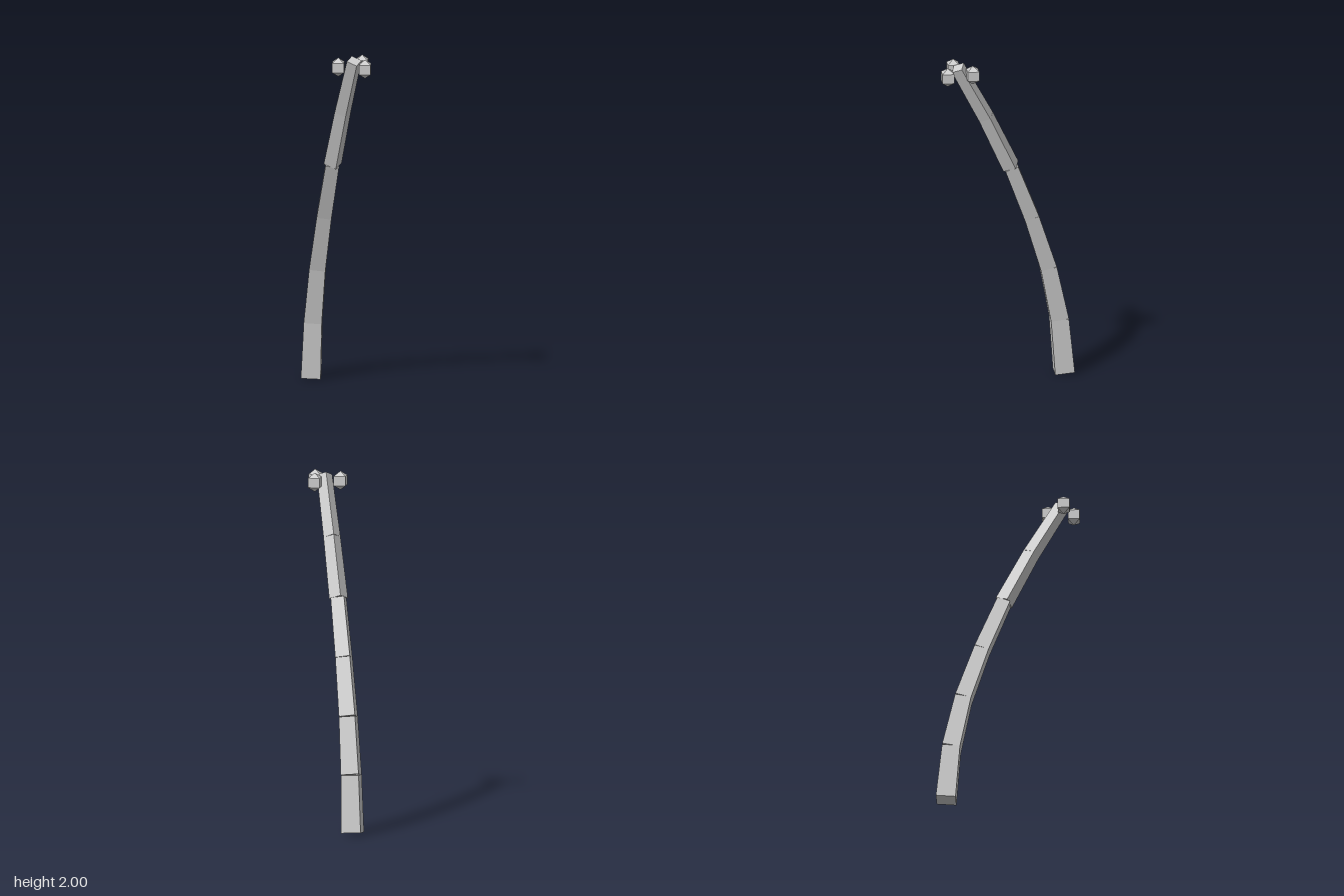
import * as THREE from 'three';

export function createModel() {
  const model = new THREE.Group();
  const grey = new THREE.MeshStandardMaterial({ color: 0xcccccc, flatShading: true });
  grey.name = 'light grey';

  // Trunk joints: x and y of the centre line, which leans in one vertical plane
  const lean = 0.4;
  const joints = [
    [-0.36, 0.011], [-0.33, 0.34], [-0.262, 0.665], [-0.158, 0.99],
    [-0.033, 1.315], [0.12, 1.645], [0.295, 1.978],
  ].map(([x, y]) => new THREE.Vector3(x, y, lean * x - 0.011));
  const radii = [0.08, 0.073, 0.066, 0.06, 0.055, 0.05, 0.045];

  // Separate four-sided segments, each square to its own axis
  const up = new THREE.Vector3(0, 1, 0);
  const trunk = new THREE.Group();
  trunk.name = 'trunk';
  for (let i = 0; i < joints.length - 1; i++) {
    const axis = joints[i + 1].clone().sub(joints[i]);
    const geo = new THREE.CylinderGeometry(radii[i + 1], radii[i], axis.length(), 4);
    if (i >= 4) geo.rotateY(-Math.atan(lean)); // upper segments turn with the lean
    const segment = new THREE.Mesh(geo, grey);
    segment.name = 'trunkSegment' + (i + 1);
    segment.position.copy(joints[i]).addScaledVector(axis, 0.5);
    segment.quaternion.setFromUnitVectors(up, axis.normalize());
    trunk.add(segment);
  }
  model.add(trunk);

  // Coconuts around the tip
  const nutGeo = new THREE.SphereGeometry(0.055, 4, 3);
  [[0.388, 0.108], [0.267, 0.02], [0.242, 0.182]].forEach(([x, z], i) => {
    const nut = new THREE.Mesh(nutGeo, grey);
    nut.name = 'coconut' + (i + 1);
    nut.position.set(x, 1.945, z);
    model.add(nut);
  });

  return model;
}
